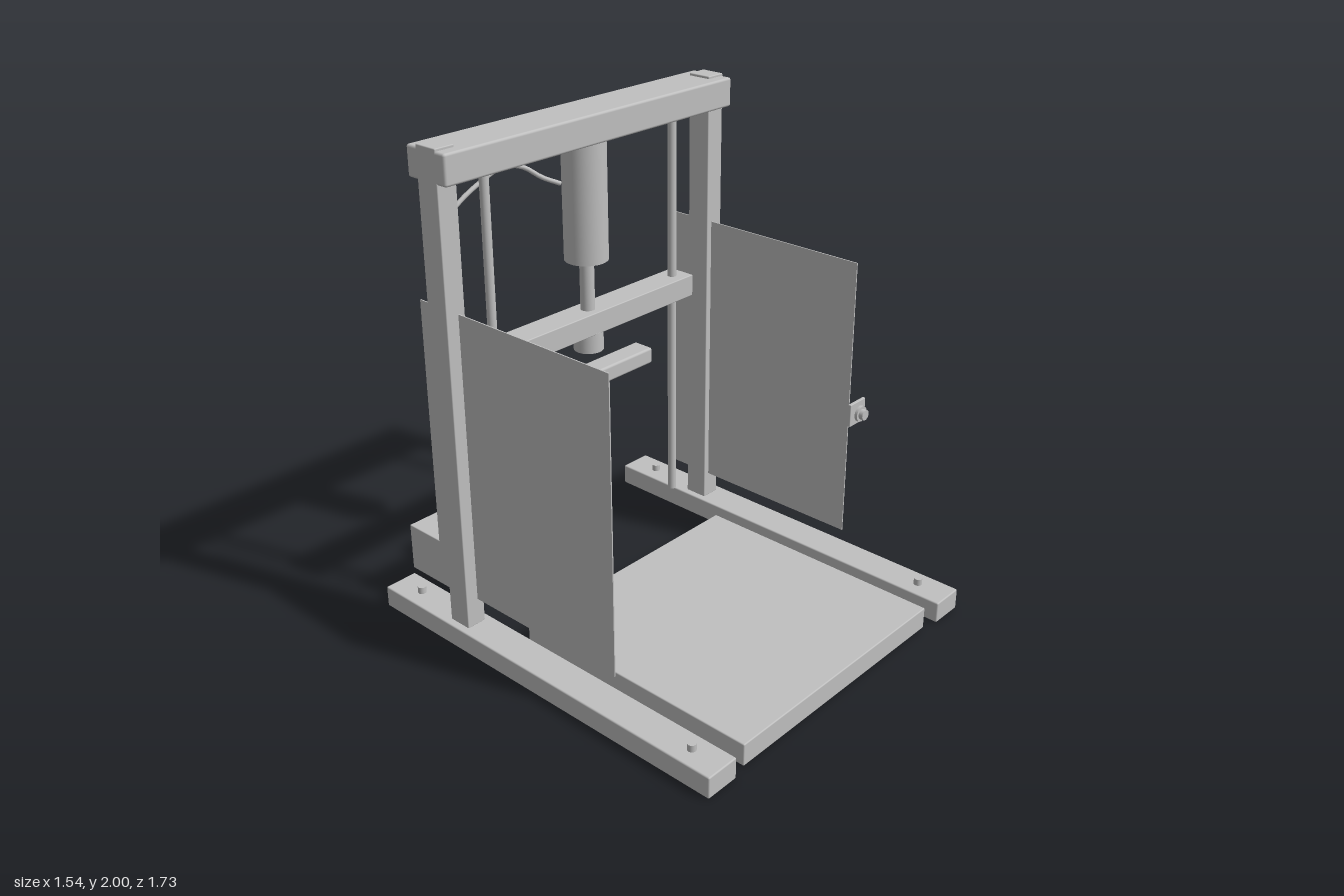
import * as THREE from 'three';
import { RoundedBoxGeometry } from 'three/addons/geometries/RoundedBoxGeometry.js';

const grey = new THREE.MeshStandardMaterial({ color: 0xc0c0c0 });
grey.name = 'light grey metal';

export function createModel() {
  const model = new THREE.Group();
  model.name = 'framePress';

  const add = (name, geometry, x, y, z, parent = model) => {
    const mesh = new THREE.Mesh(geometry, grey);
    mesh.name = name;
    mesh.position.set(x, y, z);
    parent.add(mesh);
    return mesh;
  };
  // Box given by its limits on each axis; round > 0 softens the edges
  const box = (name, [x0, x1], [y0, y1], [z0, z1], round = 0, parent = model) => {
    const size = [x1 - x0, y1 - y0, z1 - z0];
    const g = round ? new RoundedBoxGeometry(...size, 2, round) : new THREE.BoxGeometry(...size);
    return add(name, g, (x0 + x1) / 2, (y0 + y1) / 2, (z0 + z1) / 2, parent);
  };
  // Upright cylinder between two heights
  const rod = (name, r, x, z, y0, y1, parent = model, sides = 32) =>
    add(name, new THREE.CylinderGeometry(r, r, y1 - y0, sides), x, (y0 + y1) / 2, z, parent);
  // Cylinder along z between two depths
  const dial = (name, r, x, y, z0, z1, parent = model) => {
    const mesh = add(name, new THREE.CylinderGeometry(r, r, z1 - z0, 24), x, y, (z0 + z1) / 2, parent);
    mesh.rotation.x = Math.PI / 2;
    return mesh;
  };

  const ramZ = -0.443;

  // Left and right frame sides: foot, bolts, post, guide rod, safety panel
  for (const s of [-1, 1]) {
    const side = s > 0 ? 'left' : 'right';
    const span = (a, b) => (s > 0 ? [a, b] : [-b, -a]);
    box(side + 'Foot', span(0.626, 0.771), [0, 0.09], [-0.866, 0.866], 0.006);
    for (const z of [-0.728, 0.724]) rod(side + 'FootBolt', 0.017, s * 0.697, z, 0.085, 0.118);
    box(side + 'Post', span(0.655, 0.74), [0.088, 2], [-0.495, -0.393], 0.004);
    rod(side + 'GuideRod', 0.018, s * 0.492, ramZ, 0.19, 1.88);
    box(side + 'SafetyPanel', span(0.681, 0.686), [0.2, 1.39], [-0.605, 0.347]);
  }

  // Top crossbeam and base platform
  box('topBeam', [-0.74, 0.74], [1.873, 1.99], [-0.547, -0.347], 0.01);
  box('platform', [-0.565, 0.56], [0.003, 0.096], [-0.242, 0.848], 0.005);

  // Ram: cylinder, piston, sliding beam, collar and press bar
  rod('ramCylinder', 0.087, 0, ramZ, 1.4, 1.88, model, 48);
  rod('pistonRod', 0.029, 0, ramZ, 1.18, 1.41);
  box('slidingBeam', [-0.56, 0.557], [1.1, 1.192], [-0.505, -0.385], 0.004);
  rod('ramCollar', 0.06, 0, ramZ, 1.023, 1.105);
  box('pressBar', [-0.22, 0.217], [0.93, 0.997], [-0.392, -0.3], 0.01);

  // Emergency button on its backing plate
  const button = new THREE.Group();
  button.name = 'emergencyButton';
  model.add(button);
  box('buttonPlate', [0.645, 0.745], [0.707, 0.805], [0.368, 0.382], 0.003, button);
  dial('buttonNeck', 0.02, 0.695, 0.756, 0.38, 0.395, button);
  dial('buttonFlange', 0.033, 0.695, 0.756, 0.39, 0.402, button);
  dial('buttonCap', 0.022, 0.695, 0.756, 0.4, 0.42, button);

  // Control box with framed screen, knob, feet and vent dots
  const control = new THREE.Group();
  control.name = 'controlBox';
  model.add(control);
  box('controlHousing', [-0.655, -0.195], [0.143, 0.345], [-0.83, -0.55], 0.004, control);
  const frame = { x: [-0.512, -0.225], y: [0.175, 0.337], z: [-0.552, -0.535], t: 0.014 };
  for (const x of [frame.x[0], frame.x[1] - frame.t])
    box('screenFrameSide', [x, x + frame.t], frame.y, frame.z, 0, control);
  for (const y of [frame.y[0], frame.y[1] - frame.t])
    box('screenFrameRail', frame.x, [y, y + frame.t], frame.z, 0, control);
  box('screen', [-0.5, -0.236], [0.187, 0.325], [-0.552, -0.547], 0, control);
  dial('controlKnob', 0.014, -0.58, 0.272, -0.552, -0.53, control);
  for (const x of [-0.603, -0.552]) dial('controlLamp', 0.006, x, 0.187, -0.552, -0.543, control);
  for (const x of [-0.59, -0.265])
    for (const z of [-0.605, -0.775]) rod('controlFoot', 0.012, x, z, 0.133, 0.145, control, 16);
  for (let i = 0; i < 7; i++)
    for (let j = 0; j < 6; j++)
      rod('ventDot', 0.005, -0.4 + i * 0.022, -0.74 + j * 0.022, 0.343, 0.347, control, 8);

  // Hose from the ram cylinder over and down to the control box
  const path = new THREE.CatmullRomCurve3([
    [-0.07, 1.705, -0.5], [-0.13, 1.735, -0.535], [-0.2, 1.785, -0.563], [-0.29, 1.802, -0.576],
    [-0.39, 1.765, -0.585], [-0.49, 1.71, -0.592], [-0.57, 1.64, -0.595], [-0.603, 1.56, -0.595],
    [-0.605, 1.4, -0.595], [-0.605, 0.9, -0.595], [-0.605, 0.34, -0.595],
  ].map((p) => new THREE.Vector3(...p)));
  add('hose', new THREE.TubeGeometry(path, 80, 0.009, 10), 0, 0, 0);

  return model;
}
